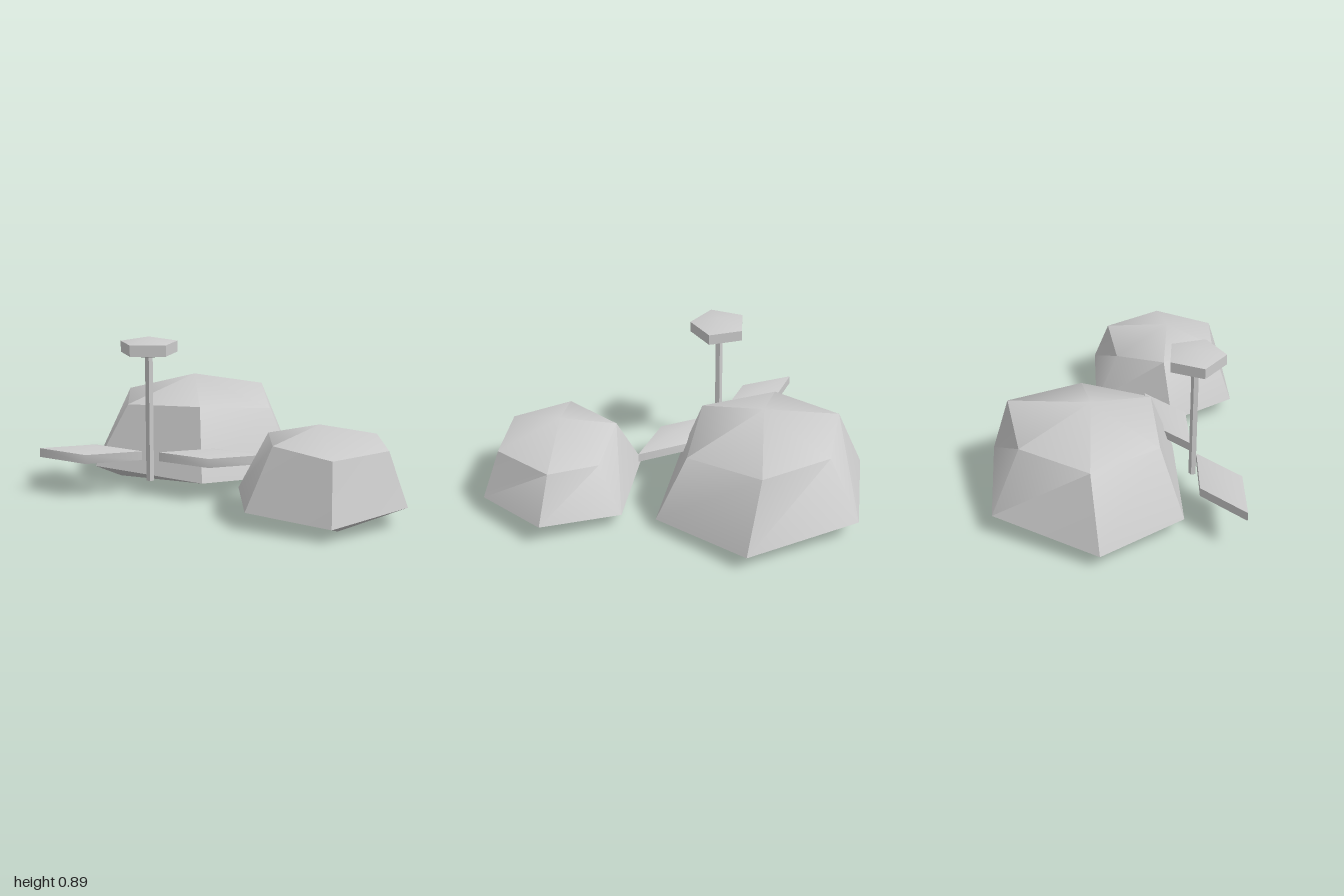
import * as THREE from 'three';
import { toCreasedNormals } from 'three/addons/utils/BufferGeometryUtils.js';

const SIDES = 6;
const CREASE = 0.87;

// Boulder skin: closed stack of six-point rings between a bottom and a top point.
// Each ring runs back, back-left, front-left, front, front-right, back-right (model's own sides).
function rockGeometry(bottom, rings, top) {
  const points = [bottom, ...rings.flat(), top];
  const index = [];
  const last = points.length - 1;
  const at = (r, i) => 1 + r * SIDES + (i % SIDES);
  for (let i = 0; i < SIDES; i++) {
    index.push(0, at(0, i), at(0, i + 1));
    for (let r = 0; r < rings.length - 1; r++) {
      index.push(at(r, i), at(r + 1, i), at(r, i + 1));
      index.push(at(r, i + 1), at(r + 1, i), at(r + 1, i + 1));
    }
    index.push(at(rings.length - 1, i), last, at(rings.length - 1, i + 1));
  }
  const geometry = new THREE.BufferGeometry();
  geometry.setAttribute('position', new THREE.Float32BufferAttribute(points.flat(), 3));
  geometry.setIndex(index);
  return toCreasedNormals(geometry, CREASE);
}

// Thin disc with a straight rim and shallow points above and below.
function discGeometry(radius, sides, bottom, rimLow, rimHigh, top) {
  const profile = [[0, bottom], [radius, rimLow], [radius, rimHigh], [0, top]]
    .map(([x, y]) => new THREE.Vector2(x, y));
  return new THREE.LatheGeometry(profile, sides, Math.PI);
}

export function createModel() {
  const model = new THREE.Group();
  model.name = 'rocksAndFlower';
  const stone = new THREE.MeshStandardMaterial({ color: 0xcccccc });
  stone.name = 'light grey';

  const add = (name, geometry) => {
    const mesh = new THREE.Mesh(geometry, stone);
    mesh.name = name;
    model.add(mesh);
    return mesh;
  };

  // Large boulder at the back
  add('largeRock', rockGeometry([-0.12, 0.03, -0.37], [
    [[-0.13, 0.055, -0.85], [0.28, 0.05, -0.62], [0.28, 0.03, -0.17],
      [-0.08, 0.065, 0.07], [-0.55, 0.025, -0.22], [-0.55, 0, -0.58]],
    [[-0.14, 0.12, -1], [0.45, 0.095, -0.69], [0.46, 0.06, -0.08],
      [-0.08, 0.085, 0.19], [-0.69, 0.1, -0.15], [-0.69, 0.08, -0.67]],
    [[-0.12, 0.465, -0.81], [0.29, 0.49, -0.66], [0.31, 0.43, -0.18],
      [-0.09, 0.48, 0.03], [-0.5, 0.455, -0.18], [-0.51, 0.47, -0.61]],
  ], [-0.12, 0.6, -0.37]));

  // Small boulder at the front
  add('smallRock', rockGeometry([0.55, 0.035, 0.54], [
    [[0.57, 0.025, 0.23], [0.84, 0.06, 0.38], [0.84, 0.06, 0.69],
      [0.58, 0.035, 0.9], [0.27, 0.045, 0.7], [0.26, 0.045, 0.38]],
    [[0.57, 0.085, 0.07], [0.97, 0.13, 0.3], [0.95, 0.11, 0.75],
      [0.54, 0.07, 0.99], [0.13, 0.09, 0.76], [0.115, 0.1, 0.32]],
    [[0.57, 0.35, 0.22], [0.85, 0.395, 0.33], [0.855, 0.39, 0.7],
      [0.55, 0.385, 0.89], [0.27, 0.42, 0.71], [0.27, 0.41, 0.36]],
  ], [0.52, 0.495, 0.55]));

  // Flower stem and five-sided head
  const stem = add('stem', toCreasedNormals(new THREE.CylinderGeometry(0.022, 0.022, 0.7, 5), CREASE));
  stem.position.set(-0.365, 0.44, 0.13);
  const head = add('flowerHead', toCreasedNormals(discGeometry(0.162, 5, 0.775, 0.8, 0.86, 0.89), CREASE));
  head.position.set(-0.365, 0, 0.13);

  // Pair of diamond leaves
  for (const [name, x, z, turn, halfWidth] of [
    ['rightLeaf', -0.695, 0.08, -0.14, 0.126],
    ['leftLeaf', -0.03, 0.182, -0.12, 0.12],
  ]) {
    const geometry = discGeometry(1, 4, 0.178, 0.202, 0.252, 0.277);
    geometry.scale(0.288, 1, halfWidth);
    const leaf = add(name, toCreasedNormals(geometry, CREASE));
    leaf.position.set(x, 0, z);
    leaf.rotation.y = turn;
  }
  return model;
}
